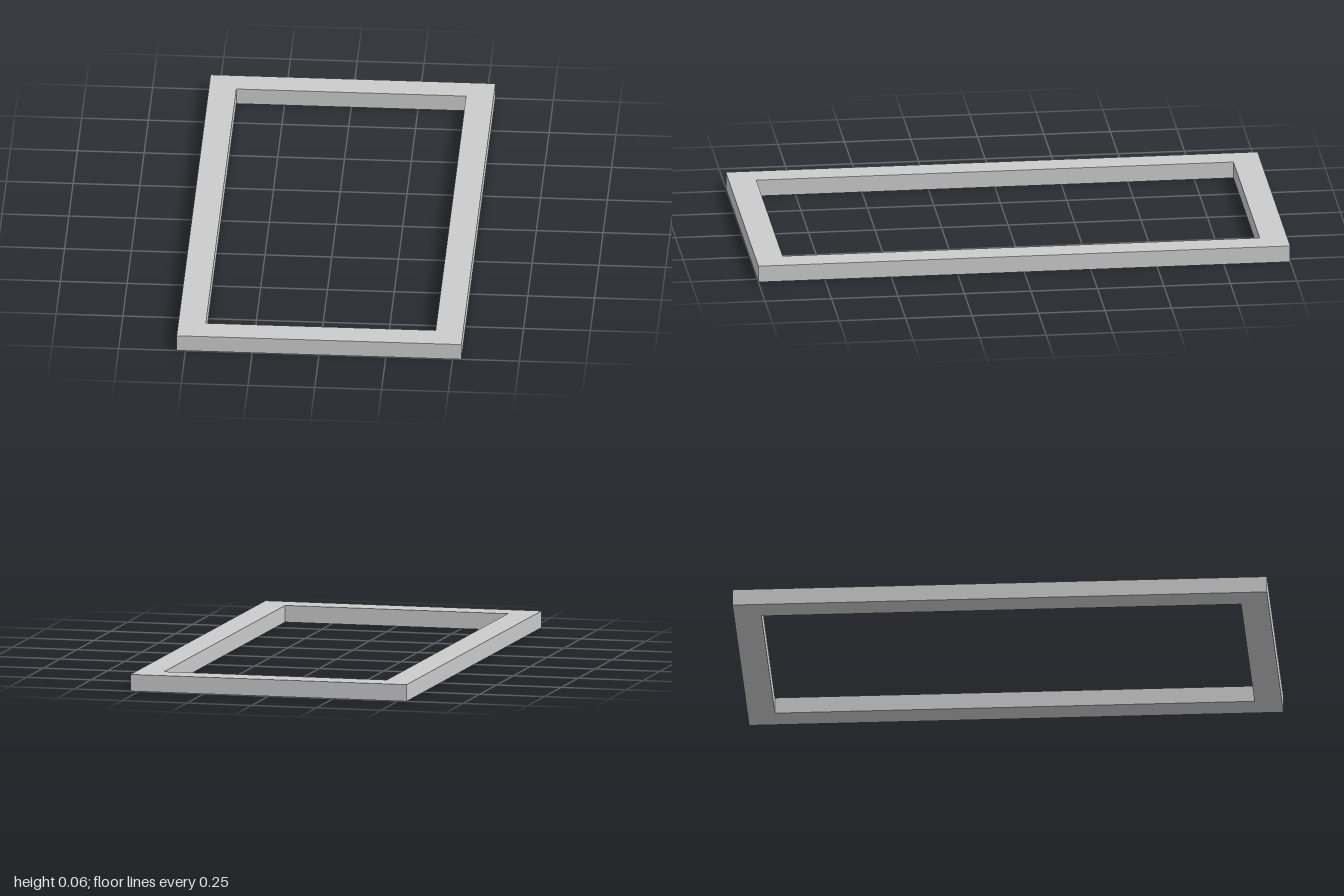
import * as THREE from 'three';

const HALF_WIDTH = 0.533, HALF_LENGTH = 1, BORDER = 0.103, HEIGHT = 0.063;

// Corners of a centred rectangle
const rectangle = (x, y) =>
  [[-x, -y], [x, -y], [x, y], [-x, y]].map(([a, b]) => new THREE.Vector2(a, b));

export function createModel() {
  const group = new THREE.Group();
  group.name = 'rectangularFrame';

  // Flat frame: outer rectangle with a rectangular opening
  const shape = new THREE.Shape(rectangle(HALF_WIDTH, HALF_LENGTH));
  shape.holes.push(new THREE.Path(rectangle(HALF_WIDTH - BORDER, HALF_LENGTH - BORDER)));

  // Lay it down so that its thickness rises from the ground
  const geometry = new THREE.ExtrudeGeometry(shape, { depth: HEIGHT, bevelEnabled: false });
  geometry.rotateX(-Math.PI / 2);

  const frame = new THREE.Mesh(geometry, new THREE.MeshStandardMaterial({ color: 0xcccccc }));
  frame.name = 'frame';
  group.add(frame);
  return group;
}
